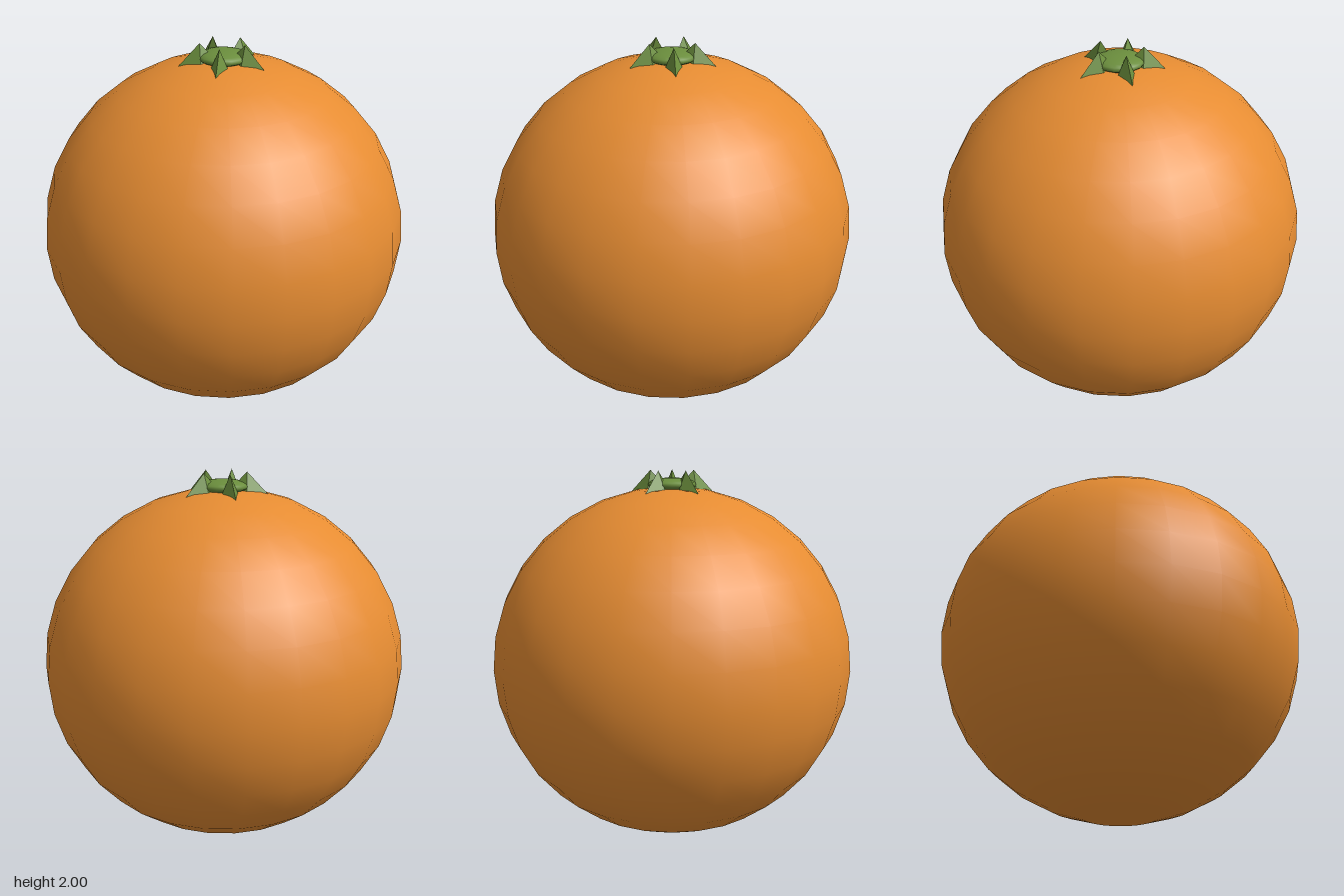
import * as THREE from 'three';

export function createModel() {
  const model = new THREE.Group();
  const orange = new THREE.MeshStandardMaterial({ color: 0xe68c32 });
  orange.name = 'orange peel';
  const green = new THREE.MeshStandardMaterial({ color: 0x6b8e3d });
  green.name = 'leaf green';

  const add = (name, geometry, material, y, parent = model) => {
    const mesh = new THREE.Mesh(geometry, material);
    mesh.name = name;
    mesh.position.y = y;
    parent.add(mesh);
    return mesh;
  };

  // Slightly flattened round fruit
  add('fruit', new THREE.SphereGeometry(0.987, 24, 16).scale(1, 0.97, 1), orange, 0.958);

  // Flat stem button on top
  add('stemButton', new THREE.SphereGeometry(0.13, 16, 10).scale(1, 0.28, 1), green, 1.925);

  // Five pointed, faceted sepals around the button
  const calyx = new THREE.Group();
  calyx.name = 'calyx';
  model.add(calyx);
  const sepal = new THREE.ConeGeometry(0.11, 0.115, 4).scale(1, 1, 0.45).toNonIndexed();
  sepal.computeVertexNormals();
  for (let i = 0; i < 5; i++) {
    const a = (i / 5) * Math.PI * 2;
    const leaf = add('sepal' + (i + 1), sepal, green, 1.9425, calyx);
    leaf.position.x = 0.122 * Math.cos(a);
    leaf.position.z = 0.122 * Math.sin(a);
    leaf.rotation.y = -a;
  }
  return model;
}
